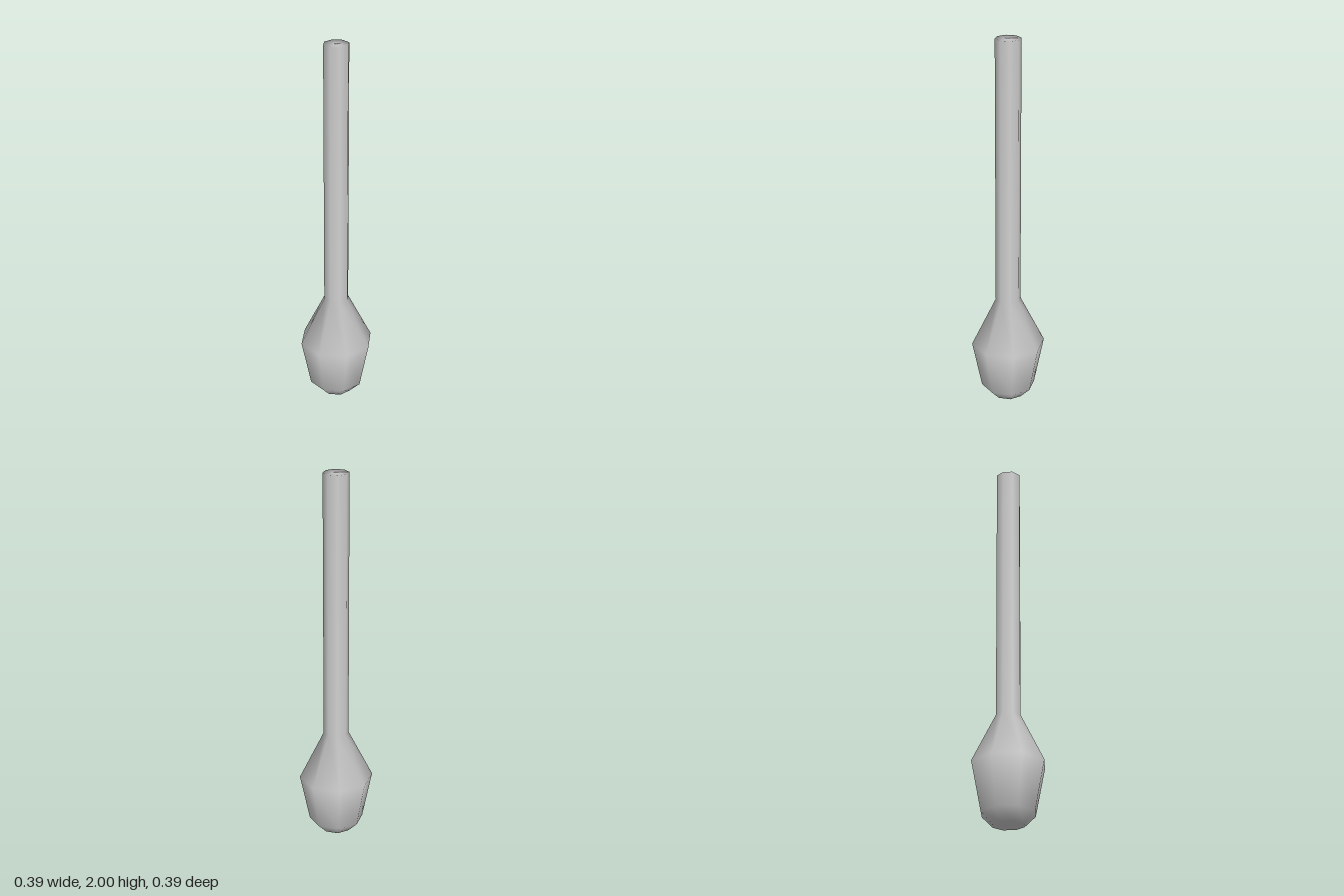
import * as THREE from 'three';

const SIDES = 8;

export function createModel() {
  const group = new THREE.Group();
  group.name = 'club';
  const material = new THREE.MeshStandardMaterial({ color: 0xcccccc });

  // One continuous eight-sided body: [radius, height] from bottom to top
  const profile = [
    [0, 0], // closed base
    [0.085, 0],
    [0.145, 0.06], // chamfered tip of the head
    [0.197, 0.315], // widest ring of the head
    [0.067, 0.575], // head tapers into the shaft
    [0.067, 2],
    [0, 2], // closed shaft end
  ].map(([r, y]) => new THREE.Vector2(r, y));

  const body = new THREE.Mesh(new THREE.LatheGeometry(profile, SIDES), material);
  body.name = 'headAndShaft';
  group.add(body);
  return group;
}
